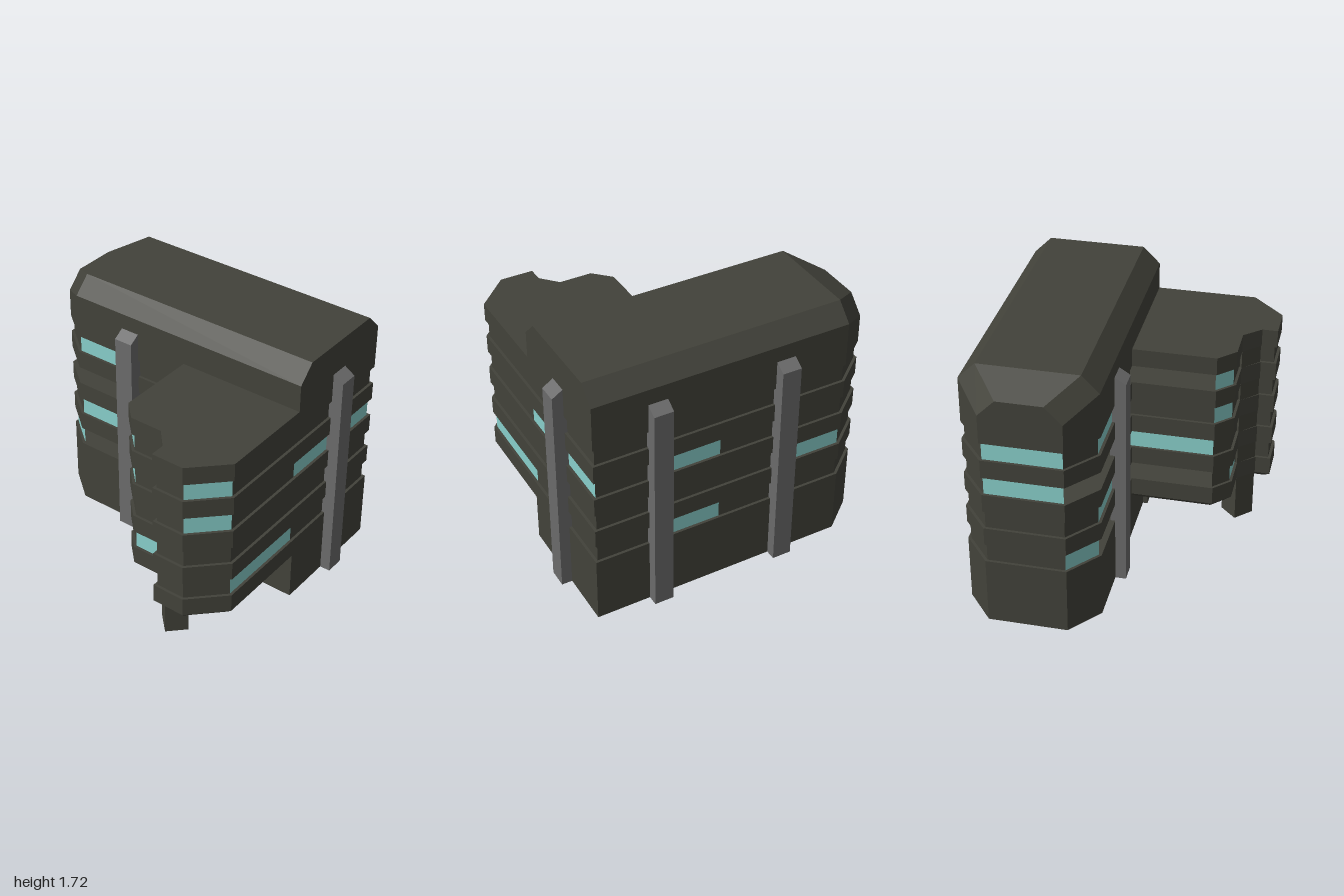
import * as THREE from 'three';
import { mergeGeometries } from 'three/addons/utils/BufferGeometryUtils.js';

const paint = (name, color) => {
  const m = new THREE.MeshStandardMaterial({ color });
  m.name = name;
  return m;
};

// Vertical prism over an [x, z] outline
function prism(outline, y0, y1) {
  const shape = new THREE.Shape(outline.map(([x, z]) => new THREE.Vector2(x, -z)));
  return new THREE.ExtrudeGeometry(shape, { depth: y1 - y0, bevelEnabled: false })
    .rotateX(-Math.PI / 2).translate(0, y0, 0);
}

// Flat-shaded geometry from polygons, each drawn as a fan
function faces(polys) {
  const pos = [];
  for (const p of polys)
    for (let i = 1; i < p.length - 1; i++) pos.push(...p[0], ...p[i], ...p[i + 1]);
  const g = new THREE.BufferGeometry();
  g.setAttribute('position', new THREE.Float32BufferAttribute(pos, 3));
  g.computeVertexNormals();
  return g;
}

// Quads joining consecutive rings of points
function strips(rings) {
  const out = [];
  for (let k = 0; k < rings.length - 1; k++) {
    const a = rings[k], b = rings[k + 1];
    a.forEach((p, i) => {
      const j = (i + 1) % a.length;
      out.push([p, a[j], b[j], b[i]]);
    });
  }
  return out;
}

// Move an outline inwards with mitred corners
function inset(outline, s) {
  const n = outline.length;
  const normal = (i) => {
    const a = outline[i % n], b = outline[(i + 1) % n];
    const dx = b[0] - a[0], dz = b[1] - a[1], l = Math.hypot(dx, dz);
    return [-dz / l, dx / l];
  };
  return outline.map(([x, z], i) => {
    const p = normal(i + n - 1), q = normal(i);
    const k = s / (1 + p[0] * q[0] + p[1] * q[1]);
    return [x - k * (p[0] + q[0]), z - k * (p[1] + q[1])];
  });
}

export function createModel() {
  const model = new THREE.Group();
  model.name = 'building';
  const wallMat = paint('dark concrete', 0x42423a);
  const glassMat = paint('pale teal glass', 0x88cfcb);
  const pillarMat = paint('grey pillar', 0x6b6b6b);
  const add = (name, geo, mat) => {
    const m = new THREE.Mesh(geo, mat);
    m.name = name;
    model.add(m);
    return m;
  };

  // Plan outlines
  const L = -0.03, R = 0.825, F = 0.93;
  const tower = [[R, F], [R, -0.79], [0.65, -1], [0.14, -1], [L, -0.79]];
  const wing = [[L, 0.07], [-0.57, 0.07], [-0.68, 0.18], [-0.68, 0.4], [-0.79, 0.5],
    [-0.89, 0.5], [-0.89, 0.72], [-0.68, F]];
  const plan = [...tower, ...wing];

  // Ground storey and the wing slabs
  add('towerBase', prism([...tower, [L, F]], 0, 0.453), wallMat);
  add('wingFloor', prism([...wing, [L, F]], 0.33, 0.453), wallMat);
  add('wingRoof', prism([...wing, [L, F]], 1.31, 1.43), wallMat);

  // Tapered underside of the wing
  const wide = [...wing, [0.1, F], [0.1, 0.07]];
  const narrow = inset(wide, 0.04);
  add('wingUnderside', prism(narrow, 0.29, 0.33), wallMat);
  add('wingUndersideEdge', faces(strips([
    narrow.map(([x, z]) => [x, 0.29, z]), wide.map(([x, z]) => [x, 0.33, z]),
  ])), wallMat);

  // Projecting storey bands
  for (const [y0, y1] of [[0.578, 0.7], [0.822, 0.945], [1.068, 1.19]])
    add('storeyBand', prism(plan, y0, y1), wallMat);

  // Recessed strips: glass is [edge, start, end], open edges have no wall
  const strip = [
    { y: [0.453, 0.578], open: [4, 5], glass: [[12, 0, 0.433], [0, 0.285, 0.494], [3, 0, 1], [7, 0, 1]] },
    { y: [0.7, 0.822], open: [], glass: [[0, 0.785, 1], [4, 0, 0.43], [5, 0, 1]] },
    { y: [0.945, 1.068], open: [3, 4], glass: [[12, 0.433, 1], [11, 0, 1], [0, 0.285, 0.494], [2, 0, 1], [6, 0, 1]] },
    { y: [1.19, 1.31], open: [5], glass: [[11, 0, 1], [2, 0, 1], [4, 0, 0.43], [6, 0, 1]] },
  ];
  const inner = inset(plan, 0.018);
  const walls = [], panes = [];
  for (const { y: [y0, y1], open, glass } of strip) {
    inner.forEach((a, i) => {
      if (open.includes(i)) return;
      const b = inner[(i + 1) % inner.length];
      const at = (t, y) => [a[0] + (b[0] - a[0]) * t, y, a[1] + (b[1] - a[1]) * t];
      const panel = (list, s, e) => {
        if (e > s) list.push([at(s, y0), at(e, y0), at(e, y1), at(s, y1)]);
      };
      const g = glass.find((w) => w[0] === i);
      if (!g) return panel(walls, 0, 1);
      panel(walls, 0, g[1]);
      panel(panes, g[1], g[2]);
      panel(walls, g[2], 1);
    });
  }
  add('recessedWalls', faces(walls), wallMat);
  add('windows', faces(panes), glassMat);

  // Tower top with chamfered eaves and a sloping back
  const section = (z, l, r, top) => [[r, 1.31], [r, top - 0.11], [r - 0.11, top],
    [l + 0.11, top], [l, top - 0.11], [l, 1.31]].map(([x, y]) => [x, y, z]);
  const rings = [section(-1, 0.14, 0.65, 1.61), section(-0.79, L, R, 1.72), section(F, L, R, 1.72)];
  add('towerTop', faces([...strips(rings), rings[2], [...rings[0]].reverse()]), wallMat);

  // Outside pillars with sloping tops, each facing away from its wall
  const profile = new THREE.Shape([[-0.03, 0], [0.07, 0], [0.07, 1.46], [0, 1.505], [-0.03, 1.505]]
    .map(([x, y]) => new THREE.Vector2(x, y)));
  const pillarGeo = new THREE.ExtrudeGeometry(profile, { depth: 0.128, bevelEnabled: false })
    .translate(0, 0, -0.064);
  for (const [x, z, turn] of [[R, 0.505, 0], [R, -0.355, 0], [L, -0.355, Math.PI], [0.395, F, -Math.PI / 2]]) {
    const p = add('pillar', pillarGeo, pillarMat);
    p.position.set(x, 0, z);
    p.rotation.y = turn;
  }

  // Diagonal leg carrying the wing, and a low block under it
  add('wingLeg', prism([[-0.68, 0.4], [-0.785, 0.505], [-0.68, 0.61], [-0.573, 0.505]], 0, 1.42), wallMat);
  add('lowBlock', mergeGeometries([
    new THREE.BoxGeometry(0.04, 0.07, 0.13).translate(-0.042, 0.035, 0.505),
  ]), wallMat);

  return model;
}
